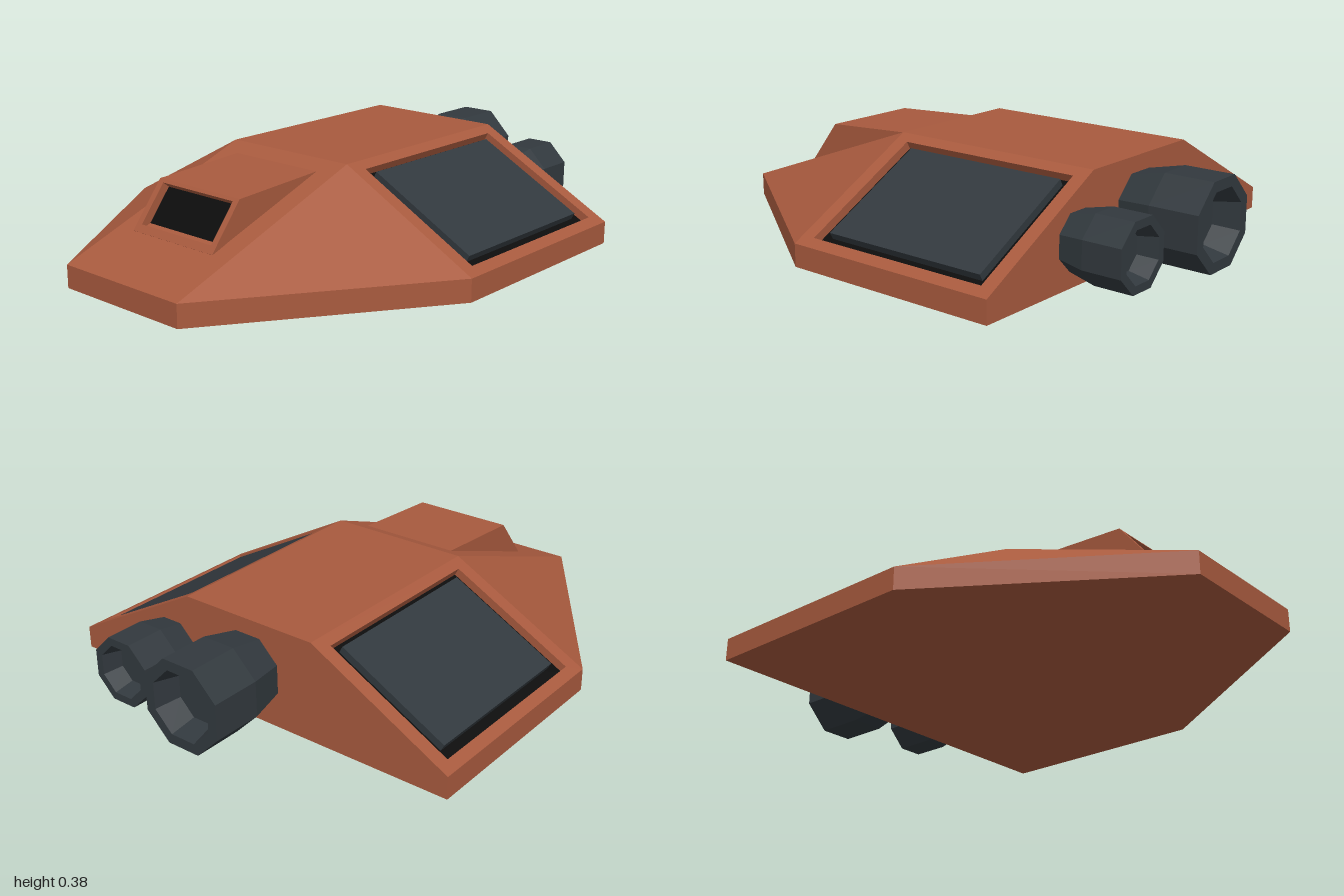
import * as THREE from 'three';

const material = (color) => new THREE.MeshStandardMaterial({ color, flatShading: true });
const V = (x, y, z) => new THREE.Vector3(x, y, z);
const flip = (p) => V(-p.x, p.y, p.z);

function named(geometry, mat, name) {
  const mesh = new THREE.Mesh(geometry, mat);
  mesh.name = name;
  return mesh;
}

// Flat convex faces: "centre" faces as given, "side" faces also mirrored to -x
function facetGeometry(centre, side) {
  const faces = [...centre, ...side, ...side.map((f) => f.map(flip).reverse())];
  const points = [];
  for (const f of faces) {
    for (let i = 1; i < f.length - 1; i++) points.push(f[0], f[i], f[i + 1]);
  }
  const geometry = new THREE.BufferGeometry().setFromPoints(points);
  geometry.computeVertexNormals();
  return geometry;
}

function rectangle(target, x0, x1, y0, y1) {
  return target.moveTo(x0, y0).lineTo(x1, y0).lineTo(x1, y1).lineTo(x0, y1).closePath();
}

// Plate with a rectangular opening; its outer surface lies on local z = 0
function openPlate(outer, hole, depth) {
  const shape = rectangle(new THREE.Shape(), ...outer);
  shape.holes.push(rectangle(new THREE.Path(), ...hole));
  return new THREE.ExtrudeGeometry(shape, { depth, bevelEnabled: false }).translate(0, 0, -depth);
}

// Box given by its limits on each axis
function boxBetween(x0, x1, y0, y1, z0, z1) {
  return new THREE.BoxGeometry(x1 - x0, y1 - y0, z1 - z0)
    .translate((x0 + x1) / 2, (y0 + y1) / 2, (z0 + z1) / 2);
}

// Matrix that lays local x and y along the given directions
function surfaceMatrix(origin, xAxis, yAxis) {
  const x = xAxis.normalize(), y = yAxis.normalize();
  return new THREE.Matrix4().makeBasis(x, y, x.clone().cross(y)).setPosition(origin);
}

// Eight-sided hollow exhaust pointing to -z; radius is measured to the flats
function nozzle(radius, length, straight, baseRadius) {
  const k = 1 / Math.cos(Math.PI / 8);
  const profile = [
    [0, -0.02], [baseRadius, -0.02], [baseRadius, 0], [radius, length - straight], [radius, length],
    [radius * 0.76, length], [radius * 0.62, length - radius * 0.6], [0, length - radius * 0.6],
  ].map(([r, y]) => new THREE.Vector2(r * k, y));
  return new THREE.LatheGeometry(profile, 8, Math.PI / 8).rotateX(-Math.PI / 2);
}

export function createModel() {
  const model = new THREE.Group();
  model.name = 'wedgeCraft';
  const paint = material(0xa85a3e);
  const metal = material(0x32393e);
  const black = material(0x0c0c0c);

  // Hull without its two side slopes
  const b1 = V(0.83, 0, -0.67), m1 = V(0.83, 0.085, -0.67), t1 = V(0.28, 0.38, -0.67);
  const b2 = V(0.83, 0, 0.19), m2 = V(0.83, 0.085, 0.19), t2 = V(0.28, 0.38, 0.19);
  const b3 = V(0.28, 0, 1), m3 = V(0.28, 0.085, 1);
  model.add(named(facetGeometry([
    [flip(t1), flip(t2), t2, t1],
    [flip(t2), flip(m3), m3, t2],
    [flip(m3), flip(b3), b3, m3],
    [b1, flip(b1), flip(m1), flip(t1), t1, m1],
    [b1, b2, b3, flip(b3), flip(b2), flip(b1)],
  ], [
    [b1, m1, m2, b2],
    [b2, m2, m3, b3],
    [m2, t2, m3],
  ]), paint, 'hull'));

  // Side slopes, each with a recessed dark panel
  const slopeLength = Math.hypot(0.55, 0.295);
  const slope = surfaceMatrix(V(0.28, 0.38, 0), V(0.55, -0.295, 0), V(0, 0, -1));
  for (const [name, turn] of [['left', 0], ['right', Math.PI]]) {
    const side = new THREE.Group();
    side.name = name + 'Slope';
    side.position.z = -0.24;
    side.rotation.y = turn;
    const parts = [
      [openPlate([0, slopeLength, -0.43, 0.43], [0.045, 0.579, -0.375, 0.375], 0.034), paint, 'SlopeFrame'],
      [boxBetween(0.04, 0.584, -0.38, 0.38, -0.05, -0.032), black, 'RecessFloor'],
      [boxBetween(0.068, 0.537, -0.337, 0.337, -0.034, -0.004), metal, 'SlopePanel'],
    ];
    for (const [geometry, mat, part] of parts) {
      side.add(named(geometry.applyMatrix4(slope), mat, name + part));
    }
    model.add(side);
  }

  // Raised scoop on the nose, with a slanted open front
  const scoop = new THREE.Group();
  scoop.name = 'scoop';
  const a = V(0.2, 0.354, 0.26), f = V(0.2, 0.333, 0.64), g = V(0.2, 0.17, 0.77);
  scoop.add(named(facetGeometry([[flip(a), flip(f), f, a]], [[a, f, g]]), paint, 'scoopBody'));
  const height = f.distanceTo(g);
  const front = surfaceMatrix(V(0, g.y, g.z), V(1, 0, 0), f.clone().sub(g));
  scoop.add(named(openPlate([-0.2, 0.2, 0, height], [-0.175, 0.175, 0.03, height - 0.013], 0.034)
    .applyMatrix4(front), paint, 'scoopFrame'));
  scoop.add(named(boxBetween(-0.18, 0.18, 0.025, height - 0.01, -0.05, -0.032)
    .applyMatrix4(front), black, 'scoopOpening'));
  model.add(scoop);

  // Rear exhausts: a large one in the middle, a small one on the left
  const largeExhaust = named(nozzle(0.16, 0.33, 0.19, 0.13), metal, 'largeExhaust');
  largeExhaust.position.set(0, 0.19, -0.67);
  const smallExhaust = named(nozzle(0.122, 0.255, 0.15, 0.1), metal, 'smallExhaust');
  smallExhaust.position.set(0.365, 0.16, -0.67);
  model.add(largeExhaust, smallExhaust);

  return model;
}
